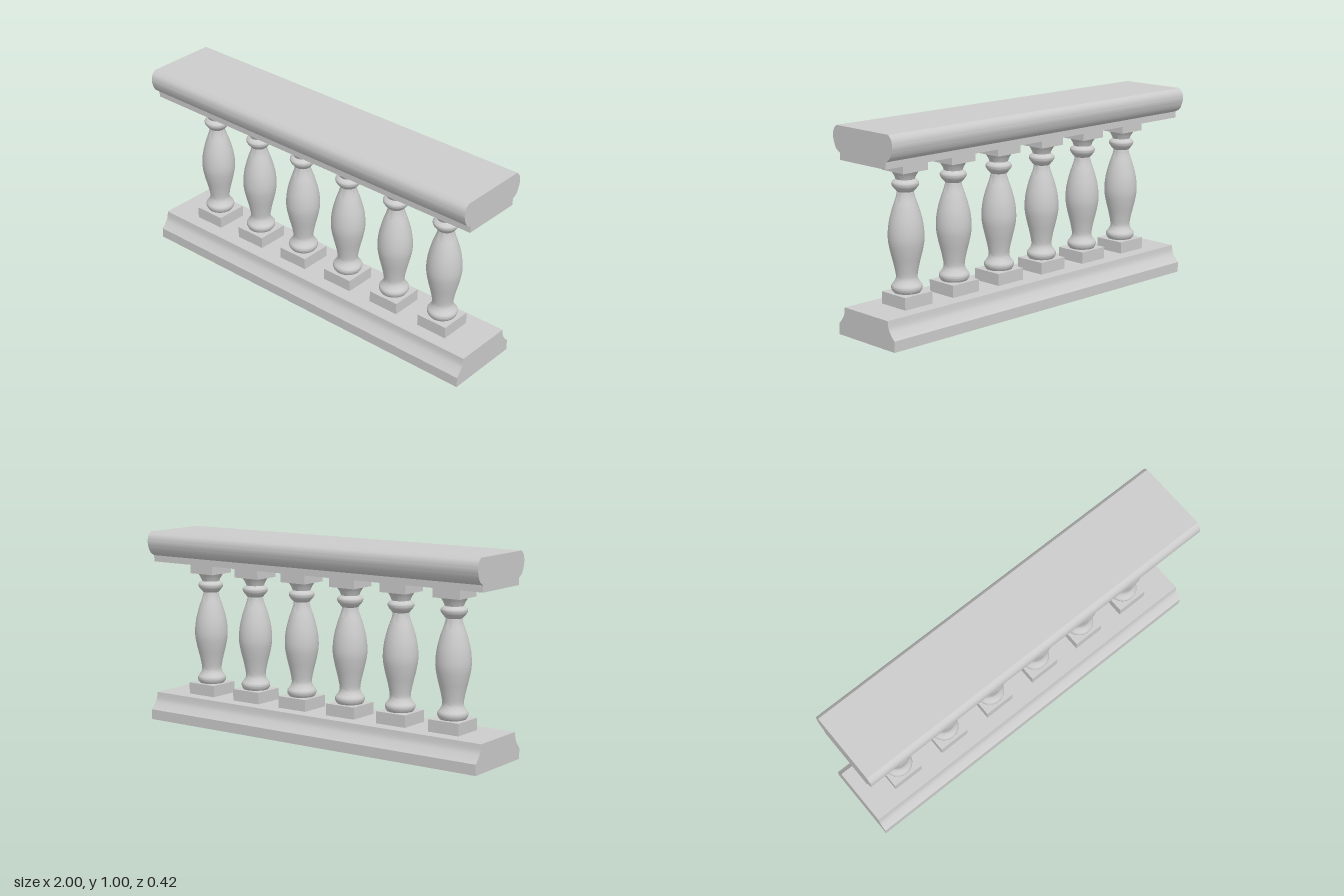
import * as THREE from 'three';
import { toCreasedNormals } from 'three/addons/utils/BufferGeometryUtils.js';

const material = new THREE.MeshStandardMaterial({ color: 0xcccccc });
const LENGTH = 2;

// Smooth curve through a few [half width, height] points
function smooth(points, n) {
  return new THREE.SplineCurve(points.map(p => new THREE.Vector2(...p))).getPoints(n);
}

function mesh(name, geometry) {
  const m = new THREE.Mesh(geometry, material);
  m.name = name;
  return m;
}

// Moulded rail: mirrored half profile swept along x
function rail(name, half) {
  const mirrored = half.map(p => new THREE.Vector2(-p.x, p.y)).reverse();
  const geometry = new THREE.ExtrudeGeometry(new THREE.Shape([...half, ...mirrored]), {
    depth: LENGTH, bevelEnabled: false,
  });
  geometry.translate(0, 0, -LENGTH / 2).rotateY(-Math.PI / 2);
  return mesh(name, toCreasedNormals(geometry, 0.5));
}

function block(name, width, bottom, top) {
  const geometry = new THREE.BoxGeometry(width, top - bottom, width);
  return mesh(name, geometry.translate(0, (bottom + top) / 2, 0));
}

export function createModel() {
  const group = new THREE.Group();

  // Base rail with a concave shoulder
  group.add(rail('baseRail', [
    new THREE.Vector2(0.2, 0),
    ...smooth([[0.2, 0.053], [0.18, 0.075], [0.162, 0.102], [0.155, 0.14]], 10),
  ]));

  // Handrail with a rounded nose and a narrow fillet below
  group.add(rail('handrail', [
    new THREE.Vector2(0.161, 0.84),
    ...smooth([[0.161, 0.873], [0.188, 0.89], [0.204, 0.922], [0.209, 0.952], [0.202, 0.98], [0.183, 1]], 20),
  ]));

  // Turned shaft: foot bead, vase body, neck ring and flared top
  const profile = [
    ...smooth([[0.064, 0.2], [0.073, 0.215], [0.073, 0.232], [0.06, 0.25], [0.051, 0.275],
      [0.06, 0.33], [0.077, 0.4], [0.086, 0.46], [0.081, 0.53], [0.064, 0.6], [0.045, 0.655], [0.039, 0.682]], 44),
    ...smooth([[0.041, 0.683], [0.062, 0.709], [0.063, 0.727], [0.047, 0.74]], 8),
    ...smooth([[0.045, 0.741], [0.053, 0.76], [0.067, 0.782]], 6),
  ];
  const shaftGeometry = toCreasedNormals(new THREE.LatheGeometry(profile, 32), 0.6);

  // Six evenly spaced balusters
  for (let i = 0; i < 6; i++) {
    const baluster = new THREE.Group();
    baluster.name = 'baluster';
    baluster.position.x = -0.75 + i * 0.3;
    baluster.add(
      block('plinth', 0.168, 0.14, 0.2),
      mesh('shaft', shaftGeometry),
      block('capBlock', 0.15, 0.782, 0.84),
    );
    group.add(baluster);
  }
  return group;
}
